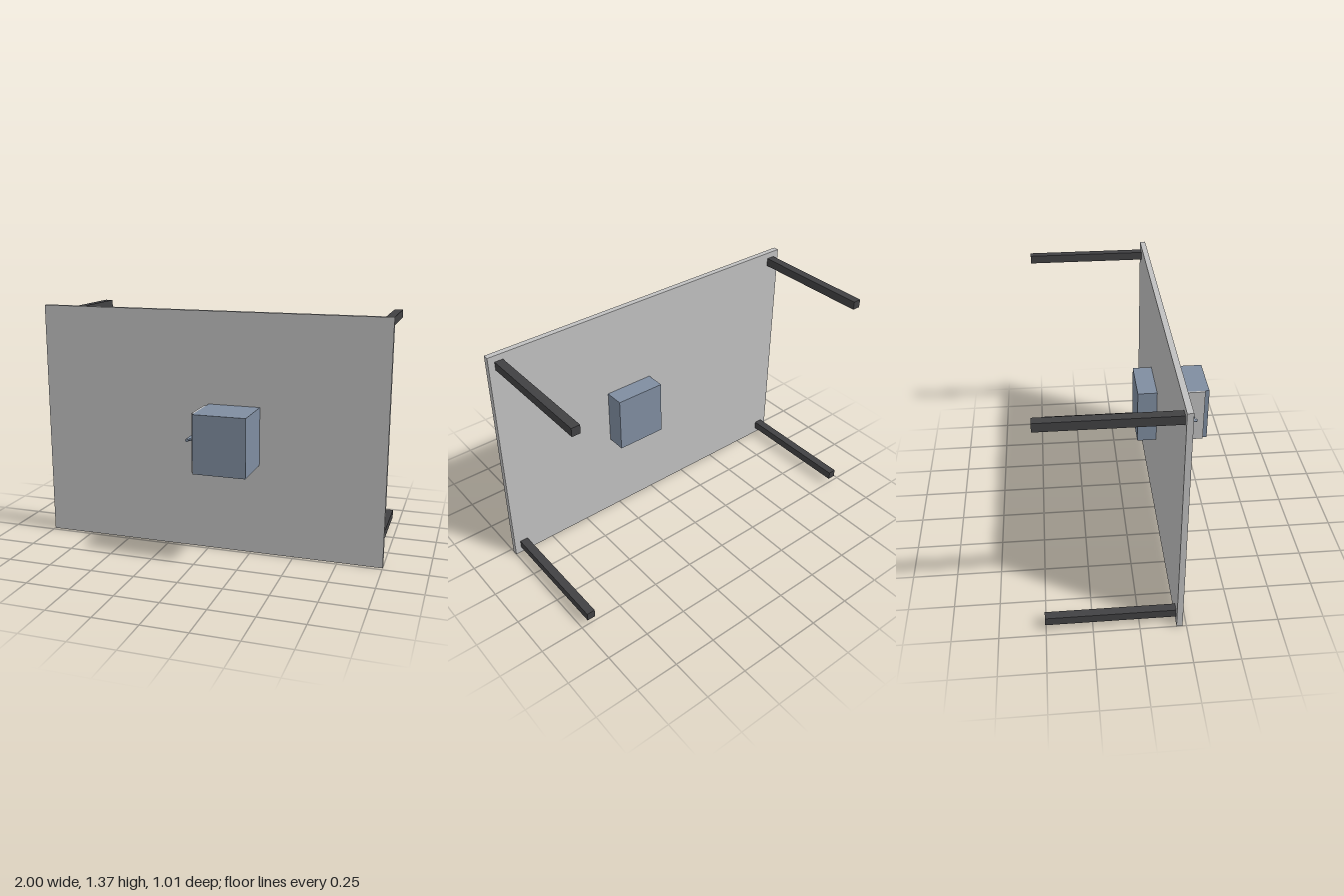
import * as THREE from 'three';

const material = (name, color) => {
  const m = new THREE.MeshStandardMaterial({ color });
  m.name = name;
  return m;
};

export function createModel() {
  const model = new THREE.Group();
  const panelGrey = material('panelGrey', 0xc0c0c0);
  const boxBlue = material('boxBlue', 0x7f8da0);
  const legCharcoal = material('legCharcoal', 0x414143);

  // Box given by its lower and upper limits on each axis
  const addBox = (name, mat, [x0, x1], [y0, y1], [z0, z1], parent = model) => {
    const mesh = new THREE.Mesh(new THREE.BoxGeometry(x1 - x0, y1 - y0, z1 - z0), mat);
    mesh.position.set((x0 + x1) / 2, (y0 + y1) / 2, (z0 + z1) / 2);
    mesh.name = name;
    parent.add(mesh);
  };

  // Upright panel
  addBox('panel', panelGrey, [-1, 1], [0, 1.368], [0.197, 0.229]);

  // Four square legs reaching backwards from the corners
  for (const x of [-0.939, 0.939]) {
    for (const y of [0.06, 1.308]) {
      addBox('leg', legCharcoal, [x - 0.024, x + 0.024], [y - 0.024, y + 0.024], [-0.503, 0.197]);
    }
  }

  // Cabinet passing through the panel, with a door on its right side
  addBox('cabinet', boxBlue, [0, 0.296], [0.521, 0.85], [0.084, 0.503]);
  addBox('door', panelGrey, [-0.013, 0], [0.521, 0.85], [0.272, 0.477]);

  // Door handle: two posts and a round grip
  const handle = new THREE.Group();
  handle.name = 'handle';
  model.add(handle);
  const addRod = (name, radius, length, position) => {
    const rod = new THREE.Mesh(new THREE.CylinderGeometry(radius, radius, length, 16), boxBlue);
    rod.position.set(...position);
    rod.name = name;
    handle.add(rod);
    return rod;
  };
  for (const z of [0.334, 0.413]) {
    addRod('handlePost', 0.006, 0.045, [-0.035, 0.686, z]).rotation.z = Math.PI / 2;
  }
  addRod('handleGrip', 0.009, 0.11, [-0.058, 0.686, 0.3735]).rotation.x = Math.PI / 2;

  return model;
}
